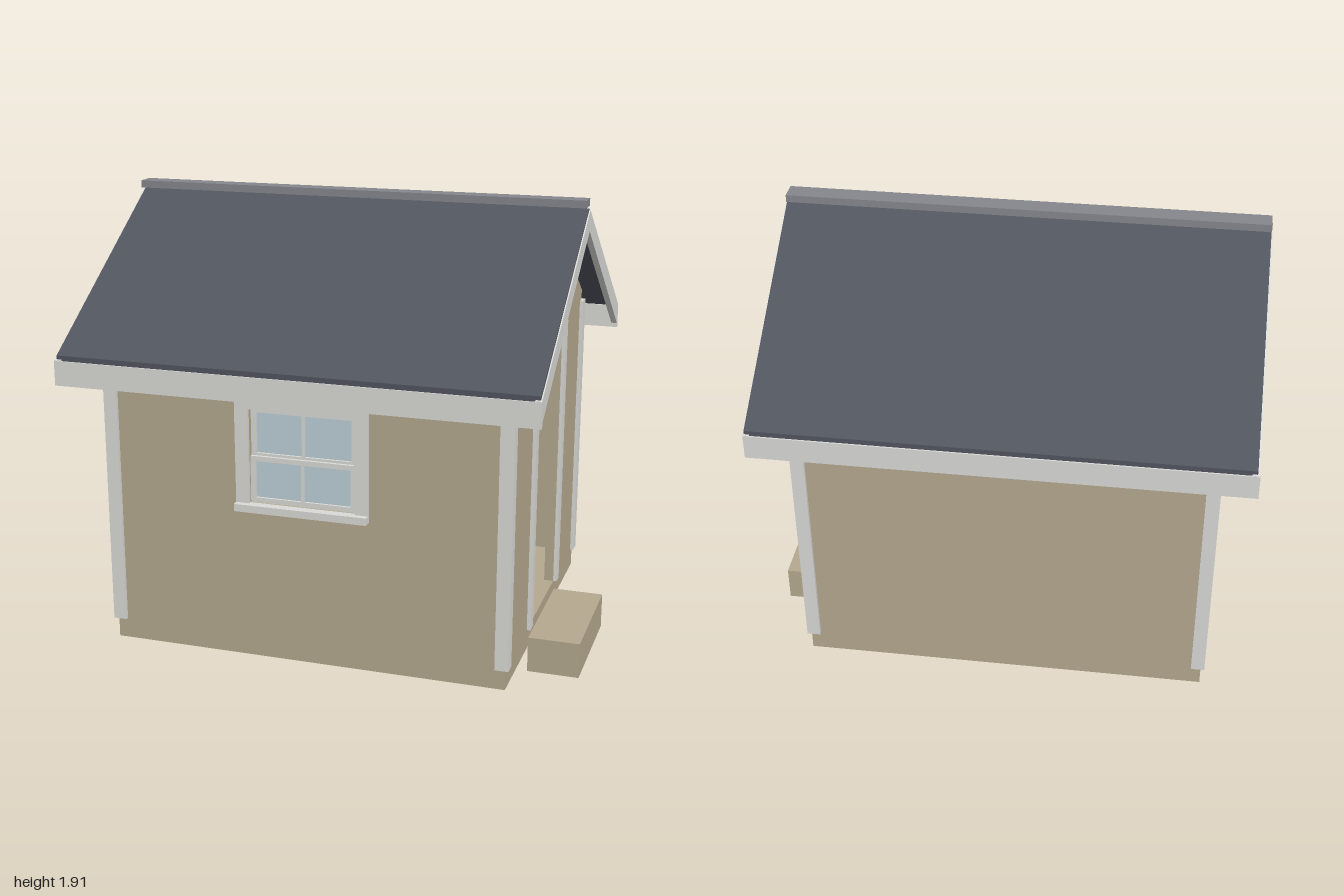
import * as THREE from 'three';

const mat = (name, color, side = THREE.FrontSide) => {
  const m = new THREE.MeshStandardMaterial({ color, side });
  m.name = name;
  return m;
};

export function createModel() {
  const wall = mat('tan wall', 0xb5a98f);
  const trim = mat('white trim', 0xdadad7);
  const roofMat = mat('slate roof', 0x51555f);
  const grey = mat('grey metal', 0x85878d);
  const glass = mat('pale glass', 0xbdd0d8, THREE.DoubleSide);
  const wood = mat('brown wood', 0x95603f);
  const jarMat = mat('light jar', 0xd2d4d2);
  const jarTan = mat('filled jar', 0x9c8f74);

  const root = new THREE.Group();
  root.name = 'gardenShed';

  const group = (name) => {
    const g = new THREE.Group();
    g.name = name;
    root.add(g);
    return g;
  };
  const add = (name, geo, material, parent = root) => {
    const m = new THREE.Mesh(geo, material);
    m.name = name;
    parent.add(m);
    return m;
  };
  // Box given by its minimum and maximum along each axis
  const box = (name, material, x0, x1, y0, y1, z0, z1, parent = root) => {
    const g = new THREE.BoxGeometry(x1 - x0, y1 - y0, z1 - z0);
    g.translate((x0 + x1) / 2, (y0 + y1) / 2, (z0 + z1) / 2);
    return add(name, g, material, parent);
  };
  const poly = (pts) => new THREE.Shape(pts.map(([a, b]) => new THREE.Vector2(a, b)));
  const rect = (x0, x1, y0, y1) => poly([[x0, y0], [x1, y0], [x1, y1], [x0, y1]]);
  // Extrude an outline lying in the z-y plane from x0 to x1
  const alongX = (shape, x0, x1) =>
    new THREE.ExtrudeGeometry(shape, { depth: x1 - x0, bevelEnabled: false })
      .rotateY(Math.PI / 2).translate(x0, 0, 0);
  const alongZ = (shape, z0, z1) =>
    new THREE.ExtrudeGeometry(shape, { depth: z1 - z0, bevelEnabled: false }).translate(0, 0, z0);

  // Walls and floor
  const walls = group('walls');
  const gable = () => poly([[-0.685, 0.11], [0.685, 0.11], [0.685, 1.412], [0, 1.85], [-0.685, 1.412]]);
  const doorWall = gable();
  doorWall.holes.push(rect(-0.248, 0.248, 0.195, 1.31));
  add('doorWall', alongX(doorWall, 0.745, 0.785), wall, walls);
  add('leftGableWall', alongX(gable(), -0.855, -0.815), wall, walls);
  const frontWall = rect(-0.815, 0.745, 0.11, 1.412);
  frontWall.holes.push(rect(-0.255, 0.18, 0.765, 1.15));
  add('frontWall', alongZ(frontWall, 0.645, 0.685), wall, walls);
  box('backWall', wall, -0.815, 0.745, 0.11, 1.412, -0.685, -0.645, walls);
  box('floor', wall, -0.815, 0.745, 0.11, 0.192, -0.645, 0.645, walls);

  // L-shaped corner boards
  const corners = group('cornerBoards');
  for (const s of [-1, 1]) {
    for (const e of [-1, 1]) {
      const outer = e > 0 ? 0.8 : -0.87;
      const inner = e > 0 ? 0.745 : -0.815;
      const face = e > 0 ? 0.785 : -0.855;
      const sort = (a, b) => [Math.min(a, b), Math.max(a, b)];
      box('cornerBoardLong', trim, ...sort(outer, inner), 0.195, 1.37, ...sort(s * 0.685, s * 0.7), corners);
      box('cornerBoardEnd', trim, ...sort(outer, face), 0.195, 1.37, ...sort(s * 0.647, s * 0.685), corners);
    }
  }

  // Roof, ridge cap, rake boards and eave fascias
  const roof = group('roof');
  const chevron = (half, apexTop, edgeTop, apexLow, edgeLow) => poly([
    [-half, edgeLow], [0, apexLow], [half, edgeLow], [half, edgeTop], [0, apexTop], [-half, edgeTop],
  ]);
  add('roofPanels', alongX(chevron(0.84, 1.88, 1.34, 1.857, 1.317), -0.99, 0.92), roofMat, roof);
  box('ridgeCap', grey, -0.99, 0.915, 1.885, 1.915, -0.04, 0.04, roof);
  for (const [x0, x1] of [[-0.998, -0.97], [0.9, 0.925]]) {
    add('rakeBoard', alongX(chevron(0.845, 1.874, 1.322, 1.79, 1.228), x0, x1), trim, roof);
  }
  for (const s of [-1, 1]) {
    const z = s * 0.8375;
    box('eaveFascia', trim, -1, 0.925, 1.22, 1.319, z - 0.0085, z + 0.0085, roof);
  }

  // Door casing and entrance step
  const casing = poly([[-0.297, 0.195], [-0.248, 0.195], [-0.248, 1.31], [0.248, 1.31],
    [0.248, 0.195], [0.297, 0.195], [0.297, 1.362], [-0.297, 1.362]]);
  add('doorCasing', alongX(casing, 0.785, 0.8), trim);
  box('entranceStep', wall, 0.786, 1, 0, 0.15, -0.27, 0.27);

  // Window: casing, sill, two sashes with a centre bar, and panes
  const win = group('window');
  const frame = rect(-0.31, 0.235, 0.735, 1.2);
  frame.holes.push(rect(-0.255, 0.18, 0.765, 1.15));
  add('windowCasing', alongZ(frame, 0.685, 0.7), trim, win);
  box('windowSill', trim, -0.31, 0.235, 0.735, 0.765, 0.7, 0.725, win);
  for (const [y0, y1, z] of [[0.765, 0.955, 0.668], [0.945, 1.15, 0.655]]) {
    const sash = rect(-0.255, 0.18, y0, y1);
    sash.holes.push(rect(-0.233, -0.045, y0 + 0.02, y1 - 0.02), rect(-0.033, 0.158, y0 + 0.02, y1 - 0.02));
    add('windowSash', alongZ(sash, z - 0.008, z + 0.01), trim, win);
    const pane = new THREE.PlaneGeometry(0.42, y1 - y0 - 0.01);
    add('windowPane', pane.translate(-0.0375, (y0 + y1) / 2, z), glass, win);
  }

  // Shelves with rows of jars along the end wall
  const pantry = group('shelves');
  const jarGeo = new THREE.LatheGeometry(
    [[0, 0], [0.032, 0], [0.033, 0.095], [0.022, 0.122], [0, 0.122]].map(([r, y]) => new THREE.Vector2(r, y)), 10,
  ).toNonIndexed();
  jarGeo.computeVertexNormals();
  const lidGeo = new THREE.CylinderGeometry(0.025, 0.025, 0.018, 10).translate(0, 0.131, 0);
  [0.35, 0.595, 0.84, 1.085, 1.275].forEach((y, row) => {
    box('shelf', wood, -0.814, -0.66, y - 0.007, y + 0.007, -0.64, 0.64, pantry);
    if (row === 4) return;
    for (let i = -6; i <= 6; i++) {
      const filled = i === (row < 2 ? 1 : -2);
      const z = i * 0.1 - 0.01;
      add('jar', jarGeo, filled ? jarTan : jarMat, pantry).position.set(-0.73, y + 0.007, z);
      add('jarLid', lidGeo, filled ? jarTan : grey, pantry).position.set(-0.73, y + 0.007, z);
    }
  });

  // Wooden crates by the back wall
  box('largeCrate', wood, 0.15, 0.473, 0.192, 0.43, -0.56, -0.32);
  box('smallCrate', wood, 0.48, 0.59, 0.192, 0.375, -0.6, -0.366);

  return root;
}
